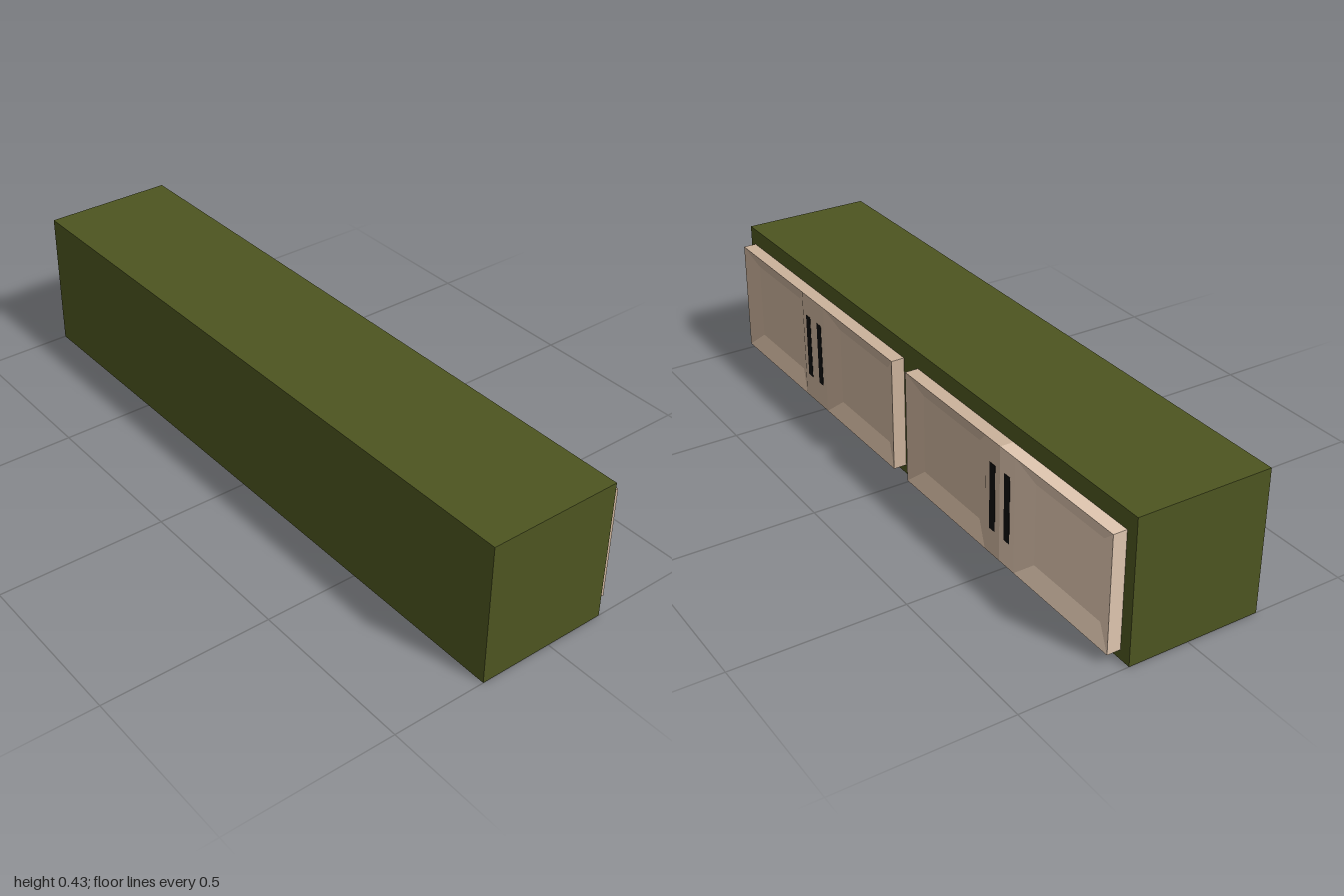
import * as THREE from 'three';

const GREEN = new THREE.MeshStandardMaterial({ color: 0x4d5520 });
const WOOD = new THREE.MeshStandardMaterial({ color: 0xcbb29b, flatShading: true });
const LIGHT_WOOD = new THREE.MeshStandardMaterial({ color: 0xe0c7b0, flatShading: true });
const BLACK = new THREE.MeshStandardMaterial({ color: 0x0c0c0c });

const Y0 = 0.028, Y1 = 0.373;       // door bottom and top
const BACK = 0.18, FRONT = 0.22;    // door thickness along x
const HALF = 0.466, STRIP = 0.067;  // half width of a door pair, meeting stile width

function box(name, material, [x0, x1], [y0, y1], [z0, z1]) {
  const mesh = new THREE.Mesh(new THREE.BoxGeometry(x1 - x0, y1 - y0, z1 - z0), material);
  mesh.position.set((x0 + x1) / 2, (y0 + y1) / 2, (z0 + z1) / 2);
  mesh.name = name;
  return mesh;
}

// Panel facing +x, with bevels sloping from its rim down to a sunken centre
function sunkenPanel(z0, z1) {
  const ring = (x, dz, dy) => [
    [x, Y0 + dy, z1 - dz], [x, Y0 + dy, z0 + dz],
    [x, Y1 - dy, z0 + dz], [x, Y1 - dy, z1 - dz],
  ];
  const rings = [ring(BACK, 0, 0), ring(FRONT, 0, 0), ring(FRONT - 0.022, 0.06, 0.052)];
  const points = [];
  const quad = (a, b, c, d) => points.push(...a, ...b, ...c, ...a, ...c, ...d);
  for (let r = 0; r < 2; r++) {
    for (let i = 0; i < 4; i++) {
      const j = (i + 1) % 4;
      quad(rings[r][i], rings[r][j], rings[r + 1][j], rings[r + 1][i]);
    }
  }
  quad(...rings[2]);
  const geometry = new THREE.BufferGeometry();
  geometry.setAttribute('position', new THREE.Float32BufferAttribute(points, 3));
  geometry.computeVertexNormals();
  return geometry;
}

// One door; side is +1 or -1 along z from the centre of its pair
function door(centre, side, material) {
  const group = new THREE.Group();
  group.name = 'door';
  const span = (a, b) => [centre + side * a, centre + side * b].sort((p, q) => p - q);
  const panel = new THREE.Mesh(sunkenPanel(...span(STRIP, HALF)), material);
  panel.name = 'doorPanel';
  group.add(
    panel,
    box('meetingStile', material, [BACK, FRONT], [Y0, Y1], span(0, STRIP)),
    box('handle', BLACK, [FRONT - 0.01, FRONT + 0.001], [0.105, 0.305], span(0.021, 0.046)),
  );
  return group;
}

export function createModel() {
  const model = new THREE.Group();
  model.name = 'wallCabinet';
  model.add(box('carcass', GREEN, [-0.22, BACK], [0, 0.425], [-1, 1]));

  // Two pairs of doors; the rearmost door is paler
  for (const centre of [0.508, -0.498]) {
    for (const side of [1, -1]) {
      model.add(door(centre, side, centre < 0 && side < 0 ? LIGHT_WOOD : WOOD));
    }
  }
  return model;
}
